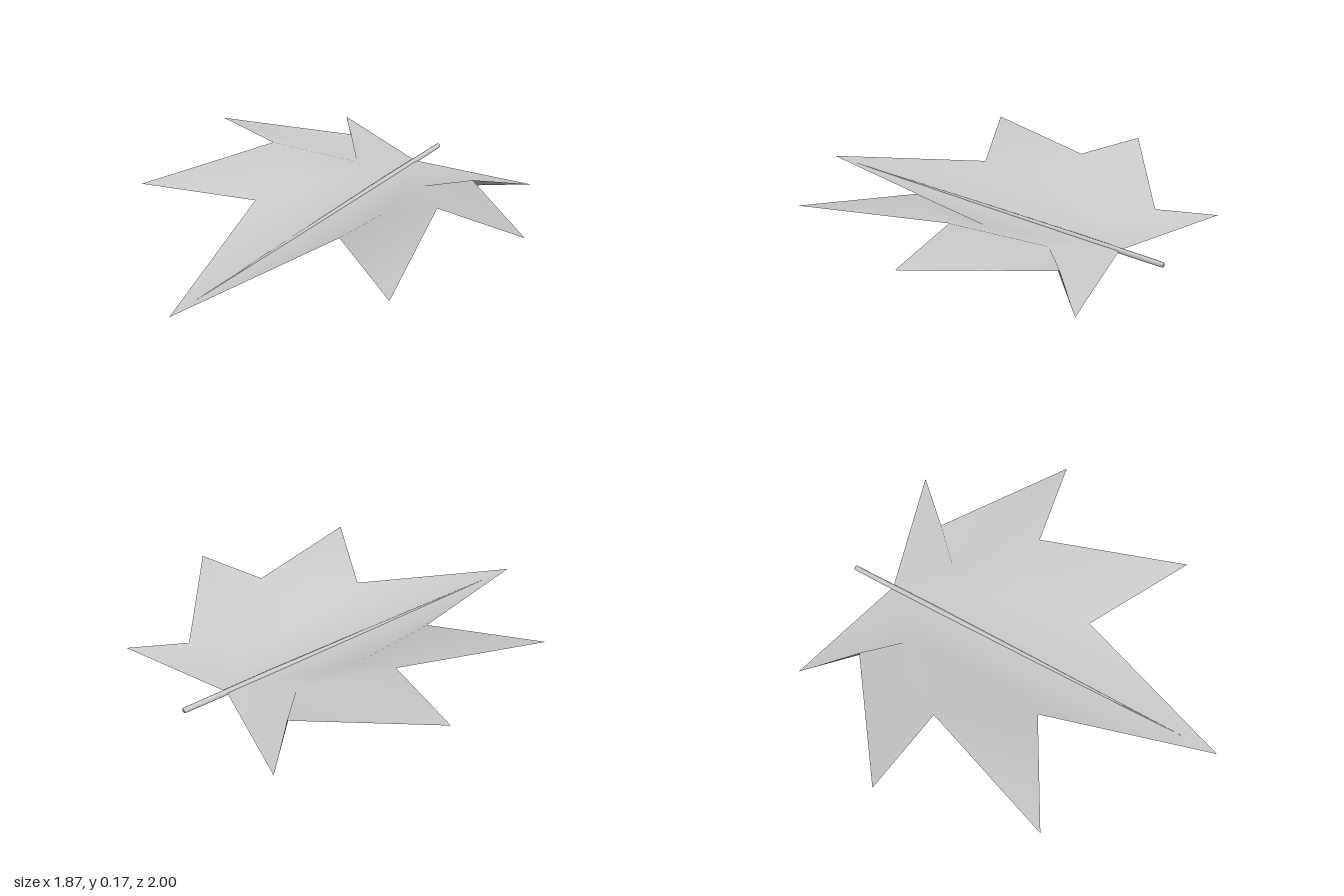
import * as THREE from 'three';
import { mergeVertices } from 'three/addons/utils/BufferGeometryUtils.js';

// Left half of the blade: lobe tips, notches and the inner points of the fold
const points = [
  [0, 0.016, -0.78],    // 0 base, where the stalk enters
  [0.6, 0.016, -0.95],  // 1 back lobe tip
  [0.39, 0.06, -0.73],  // 2 back notch
  [0.935, 0.15, -0.305], // 3 side lobe tip
  [0.51, 0.175, -0.23], // 4 side notch
  [0.75, 0.147, 0.46],  // 5 front lobe tip
  [0.26, 0.112, 0.18],  // 6 front notch
  [0, 0.015, 1],        // 7 leaf tip
  [0.2, 0.038, -0.54],  // 8 back end of the fold
  [0.23, 0.053, -0.21], // 9 front end of the fold
];
const faces = [
  [0, 7, 9], [0, 9, 8],            // shallow trough beside the midrib
  [0, 8, 1], [8, 2, 1],            // back lobe
  [8, 9, 4], [8, 4, 3], [8, 3, 2], // side lobe
  [9, 6, 4], [6, 5, 4],            // front lobe
  [9, 7, 6],                       // raised edge of the tip lobe
];

function bladeGeometry() {
  const position = [];
  for (const side of [1, -1]) {
    for (const [a, b, c] of faces) {
      const corners = side > 0 ? [a, b, c] : [a, c, b];
      for (const i of corners) {
        const [x, y, z] = points[i];
        position.push(x === 0 ? 0 : x * side, y, z);
      }
    }
  }
  const geometry = new THREE.BufferGeometry();
  geometry.setAttribute('position', new THREE.Float32BufferAttribute(position, 3));
  const smooth = mergeVertices(geometry);
  smooth.computeVertexNormals();
  return smooth;
}

export function createModel() {
  const leaf = new THREE.Group();
  leaf.name = 'leaf';

  // Thin folded blade
  const blade = new THREE.Mesh(
    bladeGeometry(),
    new THREE.MeshStandardMaterial({ color: 0xcccccc, side: THREE.DoubleSide })
  );
  blade.name = 'blade';
  leaf.add(blade);

  // Stalk running on as a tapering midrib: radius and z along its length
  const profile = [[0, -1], [0.0125, -1], [0.0145, -0.55], [0.01, 0], [0.005, 0.45], [0, 0.84]];
  const stalkGeometry = new THREE.LatheGeometry(profile.map(([r, z]) => new THREE.Vector2(r, z)), 8);
  stalkGeometry.rotateX(Math.PI / 2);
  const stalk = new THREE.Mesh(stalkGeometry, new THREE.MeshStandardMaterial({ color: 0xcccccc }));
  stalk.name = 'stalk';
  stalk.position.y = 0.0155;
  leaf.add(stalk);

  return leaf;
}
